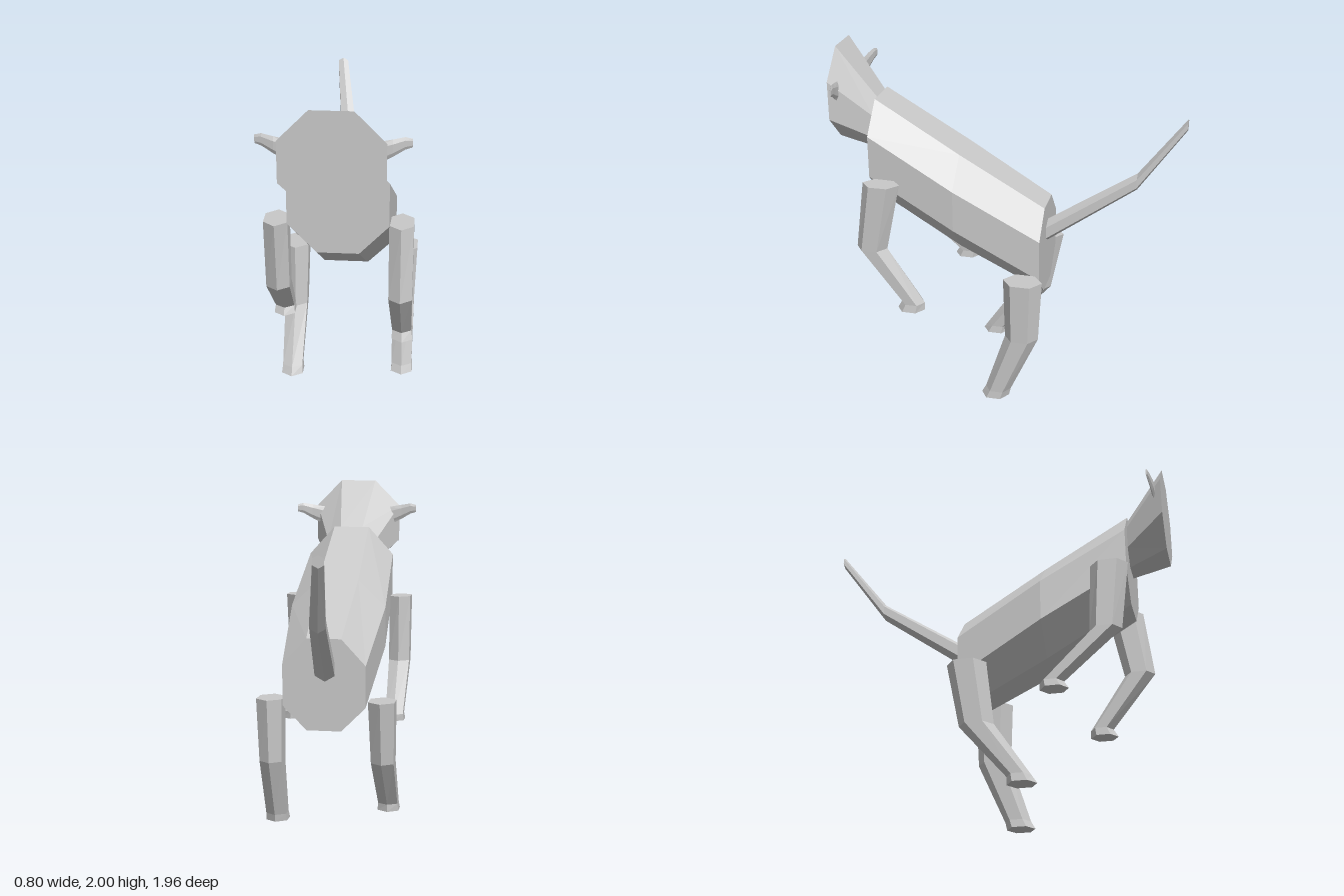
import * as THREE from 'three';

const grey = new THREE.MeshStandardMaterial({ color: 0xc8c8c8, flatShading: true });
grey.name = 'plain grey';

// Skins a list of equal-sized rings and caps both ends, facets facing outwards
function loft(name, rings) {
  const n = rings[0].length, tris = [];
  for (let r = 0; r < rings.length - 1; r++) {
    for (let i = 0; i < n; i++) {
      const j = (i + 1) % n, a = rings[r], b = rings[r + 1];
      tris.push([a[i], a[j], b[j]], [a[i], b[j], b[i]]);
    }
  }
  const first = rings[0], last = rings[rings.length - 1];
  for (let i = 1; i < n - 1; i++) {
    tris.push([first[0], first[i + 1], first[i]], [last[0], last[i], last[i + 1]]);
  }
  // A negative enclosed volume means the corners run the wrong way
  let volume = 0;
  for (const [a, b, c] of tris) volume += a.dot(b.clone().cross(c));
  if (volume < 0) tris.forEach(t => t.reverse());
  const geometry = new THREE.BufferGeometry().setFromPoints(tris.flat());
  geometry.computeVertexNormals();
  const mesh = new THREE.Mesh(geometry, grey);
  mesh.name = name;
  return mesh;
}

// Upright octagon: half width, half width of the flat top, and four heights
function octagon(z, x, w, flat, bottom, low, high, top) {
  return [[-flat, bottom], [flat, bottom], [w, low], [w, high],
    [flat, top], [-flat, top], [-w, high], [-w, low]]
    .map(([px, py]) => new THREE.Vector3(x + px, py, z));
}

// Hexagon around a centre, pointed along the second axis
function hexagon(place, ru, rv) {
  return Array.from({ length: 6 }, (_, i) => {
    const a = Math.PI / 6 + i * Math.PI / 3;
    return place(Math.cos(a) / 0.866 * ru, Math.sin(a) * rv);
  });
}

// Leg from level rings: [height, x, back z, front z, half width]
function leg(name, side, levels) {
  return loft(name, levels.map(([y, x, z0, z1, w]) =>
    hexagon((u, v) => new THREE.Vector3(side * x + u, y, (z0 + z1) / 2 + v), w, (z1 - z0) / 2)));
}

export function createModel() {
  const model = new THREE.Group();
  model.name = 'animal';

  // Sloping body and flared head
  model.add(loft('body', [
    octagon(0.76, 0, 0.265, 0.11, 1.14, 1.3, 1.54, 1.71),
    octagon(0.27, 0, 0.285, 0.12, 0.85, 1.02, 1.26, 1.42),
    octagon(-0.22, 0, 0.24, 0.1, 0.6, 0.74, 0.98, 1.13),
  ]));
  model.add(loft('head', [
    octagon(0.76, 0, 0.15, 0.07, 1.4, 1.49, 1.62, 1.71),
    octagon(0.98, -0.01, 0.268, 0.11, 1.47, 1.62, 1.84, 2.0),
  ]));

  // Thin ears: [x, z, low y, high y, half thickness]
  for (const side of [1, -1]) {
    const rings = [[0.2, 0.94, 1.71, 1.83, 0.01], [0.29, 0.932, 1.755, 1.845, 0.01],
      [0.35, 0.92, 1.79, 1.855, 0.007], [0.385, 0.914, 1.8, 1.845, 0.004]];
    model.add(loft(side > 0 ? 'leftEar' : 'rightEar', rings.map(([x, z, lo, hi, t]) =>
      hexagon((u, v) => new THREE.Vector3(side * x - 0.007, (lo + hi) / 2 + v, z + u), t, (hi - lo) / 2))));
  }

  // Walking legs
  model.add(leg('leftFrontLeg', 1, [
    [1.29, 0.327, 0.565, 0.778, 0.064],
    [0.89, 0.328, 0.65, 0.83, 0.062],
    [0.565, 0.333, 0.435, 0.57, 0.053],
    [0.52, 0.336, 0.435, 0.597, 0.058],
  ]));
  model.add(leg('rightFrontLeg', -1, [
    [1.29, 0.33, 0.565, 0.778, 0.064],
    [0.89, 0.33, 0.55, 0.73, 0.063],
    [0.605, 0.338, 0.27, 0.405, 0.053],
    [0.565, 0.338, 0.27, 0.43, 0.058],
  ]));
  model.add(leg('leftHindLeg', 1, [
    [0.77, 0.325, -0.255, -0.03, 0.075],
    [0.4, 0.32, -0.235, -0.04, 0.066],
    [0.045, 0.323, -0.075, 0.075, 0.06],
    [0, 0.323, -0.065, 0.1, 0.064],
  ]));
  model.add(leg('rightHindLeg', -1, [
    [0.77, 0.325, -0.255, -0.03, 0.075],
    [0.4, 0.325, -0.18, 0.015, 0.066],
    [0.095, 0.327, 0.085, 0.22, 0.058],
    [0.05, 0.327, 0.085, 0.25, 0.063],
  ]));

  // Raised tail: [z, x, low y, high y, half width]
  const tail = [[-0.22, -0.005, 0.885, 1.02, 0.058], [-0.72, -0.06, 1.23, 1.33, 0.044],
    [-0.98, -0.113, 1.59, 1.657, 0.03]];
  model.add(loft('tail', tail.map(([z, x, lo, hi, w]) =>
    hexagon((u, v) => new THREE.Vector3(x + u, (lo + hi) / 2 + v, z), w, (hi - lo) / 2))));

  return model;
}
